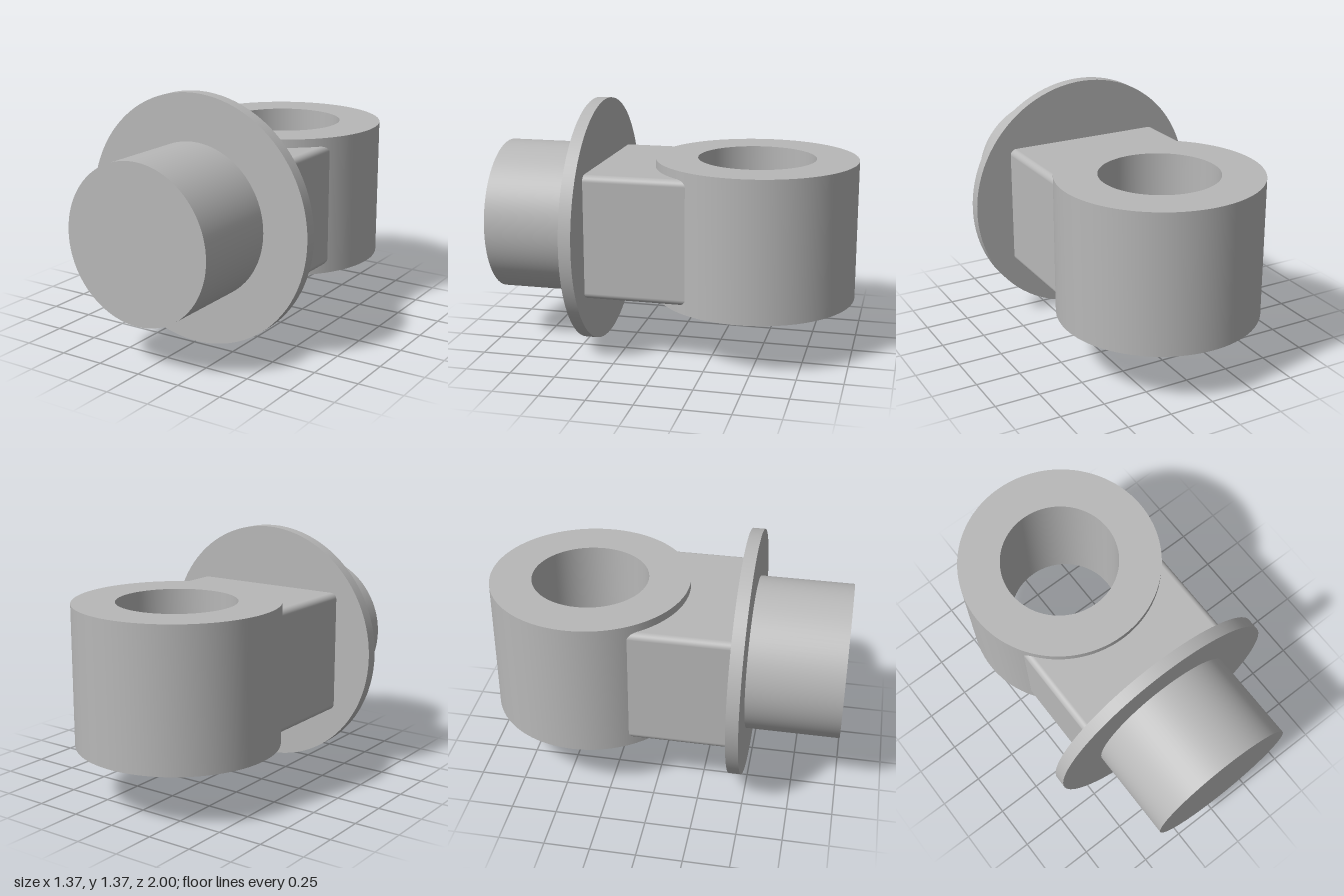
import * as THREE from 'three';
import { toCreasedNormals } from 'three/addons/utils/BufferGeometryUtils.js';

const AXIS_Y = 0.688; // height of the common axis
const EYE_Z = -0.443, EYE_R = 0.557, HOLE_R = 0.325;

// Neck: rounded-rectangle sleeve whose rear rim follows the eye's outer wall
function neckGeometry(halfW, halfH, radius, zFront) {
  const pos = [], nor = [], idx = [], steps = 8;
  for (let corner = 0; corner < 4; corner++) {
    const sx = corner === 0 || corner === 3 ? 1 : -1;
    const sy = corner < 2 ? 1 : -1;
    for (let i = 0; i <= steps; i++) {
      const a = (corner + i / steps) * Math.PI / 2;
      const nx = Math.cos(a), ny = Math.sin(a);
      const x = sx * (halfW - radius) + nx * radius;
      const y = sy * (halfH - radius) + ny * radius;
      const zBack = EYE_Z + Math.sqrt(EYE_R ** 2 - x * x) - 0.003;
      pos.push(x, y, zBack, x, y, zFront);
      nor.push(nx, ny, 0, nx, ny, 0);
    }
  }
  const n = pos.length / 6;
  for (let i = 0; i < n; i++) {
    const a = 2 * i, b = 2 * ((i + 1) % n);
    idx.push(a, b, b + 1, a, b + 1, a + 1);
  }
  const g = new THREE.BufferGeometry();
  g.setAttribute('position', new THREE.Float32BufferAttribute(pos, 3));
  g.setAttribute('normal', new THREE.Float32BufferAttribute(nor, 3));
  g.setIndex(idx);
  return g;
}

export function createModel() {
  const group = new THREE.Group();
  const steel = new THREE.MeshStandardMaterial({ color: 0xb8b8b8 });
  steel.name = 'grey steel';
  const sleeveSteel = steel;

  const add = (name, geometry, y, z) => {
    const mesh = new THREE.Mesh(geometry, sleeveSteel);
    mesh.name = name;
    mesh.position.set(0, y, z);
    group.add(mesh);
  };
  // Solid disc along z between two depths
  const disc = (name, r, z0, z1) =>
    add(name, new THREE.CylinderGeometry(r, r, z1 - z0, 96).rotateX(Math.PI / 2), AXIS_Y, (z0 + z1) / 2);

  disc('shaft', 0.428, 0.483, 1);
  disc('flange', 0.687, 0.415, 0.483);
  add('neck', neckGeometry(0.468, 0.343, 0.035, 0.416), AXIS_Y + 0.002, 0);

  // Eye: thick vertical ring with a through hole
  const h = 0.389;
  const profile = [[HOLE_R, -h], [EYE_R, -h], [EYE_R, h], [HOLE_R, h], [HOLE_R, -h]]
    .map(([x, y]) => new THREE.Vector2(x, y));
  add('eye', toCreasedNormals(new THREE.LatheGeometry(profile, 96), 0.6), AXIS_Y + 0.002, EYE_Z);

  return group;
}
